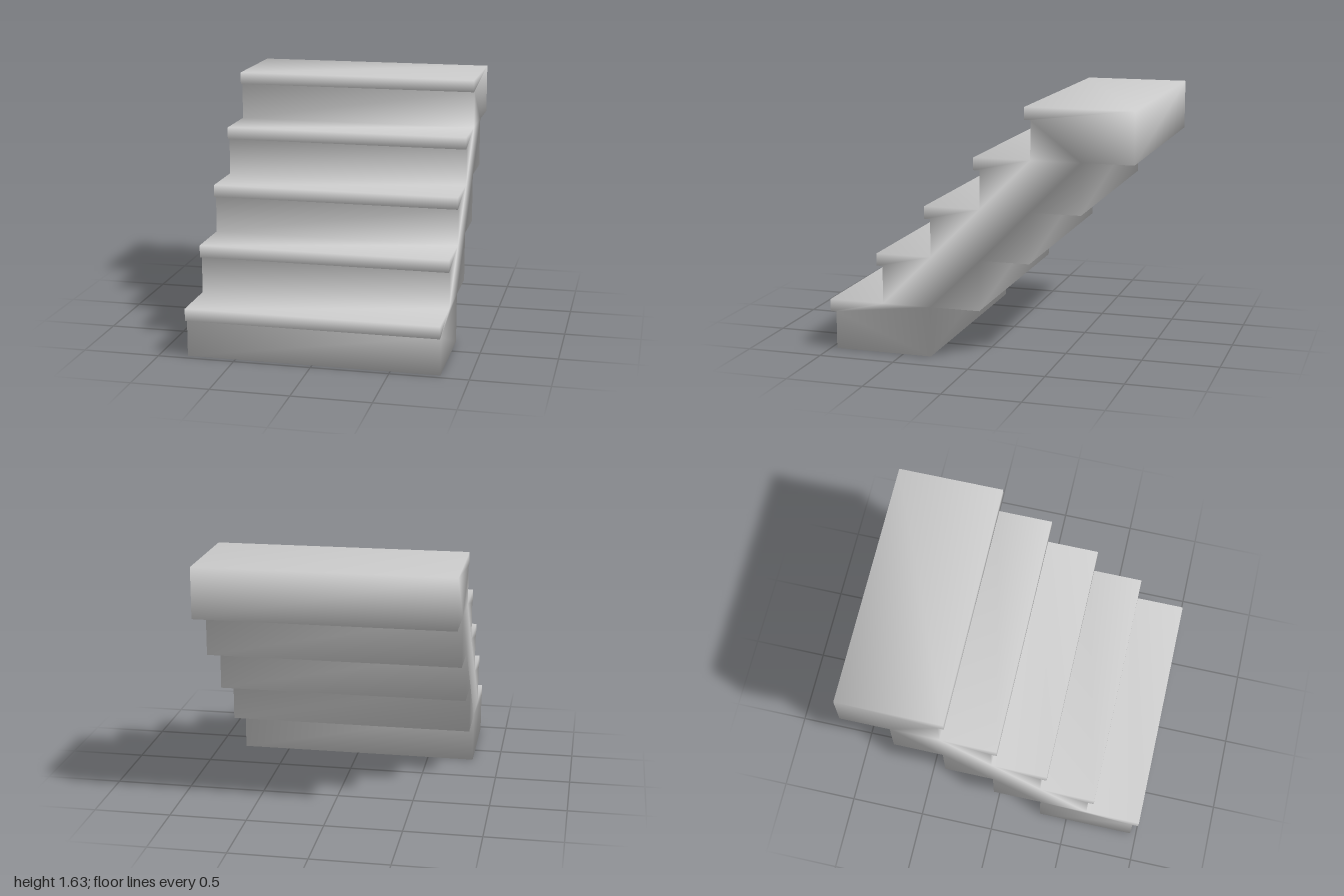
import * as THREE from 'three';
import { mergeVertices } from 'three/addons/utils/BufferGeometryUtils.js';

const STEPS = 5;
const WIDTH = 1.63;
const RISE = 0.327;   // height of one step
const RUN = 0.3275;   // how far each step is set back
const DEPTH = 0.69;   // nosing to back of one step
const NOSE = 0.04;    // nosing overhang
const LIP = 0.08;     // nosing thickness

// Side outline of the whole flight, as (distance from the front, height)
function flightOutline() {
  const points = [];
  // Up the front: riser, underside of nosing, nosing, tread
  for (let i = 0; i < STEPS; i++) {
    const front = i * RUN, base = i * RISE, top = base + RISE;
    points.push(
      new THREE.Vector2(front + NOSE, base),
      new THREE.Vector2(front + NOSE, top - LIP),
      new THREE.Vector2(front, top - LIP),
      new THREE.Vector2(front, top)
    );
  }
  // Down the stepped back and underside
  for (let i = STEPS - 1; i >= 0; i--) {
    const back = i * RUN + DEPTH;
    points.push(
      new THREE.Vector2(back, (i + 1) * RISE),
      new THREE.Vector2(back, i * RISE)
    );
  }
  return new THREE.Shape(points);
}

export function createModel() {
  const group = new THREE.Group();
  group.name = 'staircase';

  let geometry = new THREE.ExtrudeGeometry(flightOutline(), {
    depth: WIDTH,
    bevelEnabled: false
  });
  geometry.translate(-1, 0, -WIDTH / 2);
  geometry.rotateY(Math.PI / 2); // outline runs from front (+z) to back (-z)

  // Shared corners give the soft shading across the edges
  geometry.deleteAttribute('normal');
  geometry.deleteAttribute('uv');
  geometry = mergeVertices(geometry, 1e-4);
  geometry.computeVertexNormals();

  const flight = new THREE.Mesh(
    geometry,
    new THREE.MeshStandardMaterial({ color: 0xcccccc })
  );
  flight.name = 'stairFlight';
  group.add(flight);
  return group;
}
